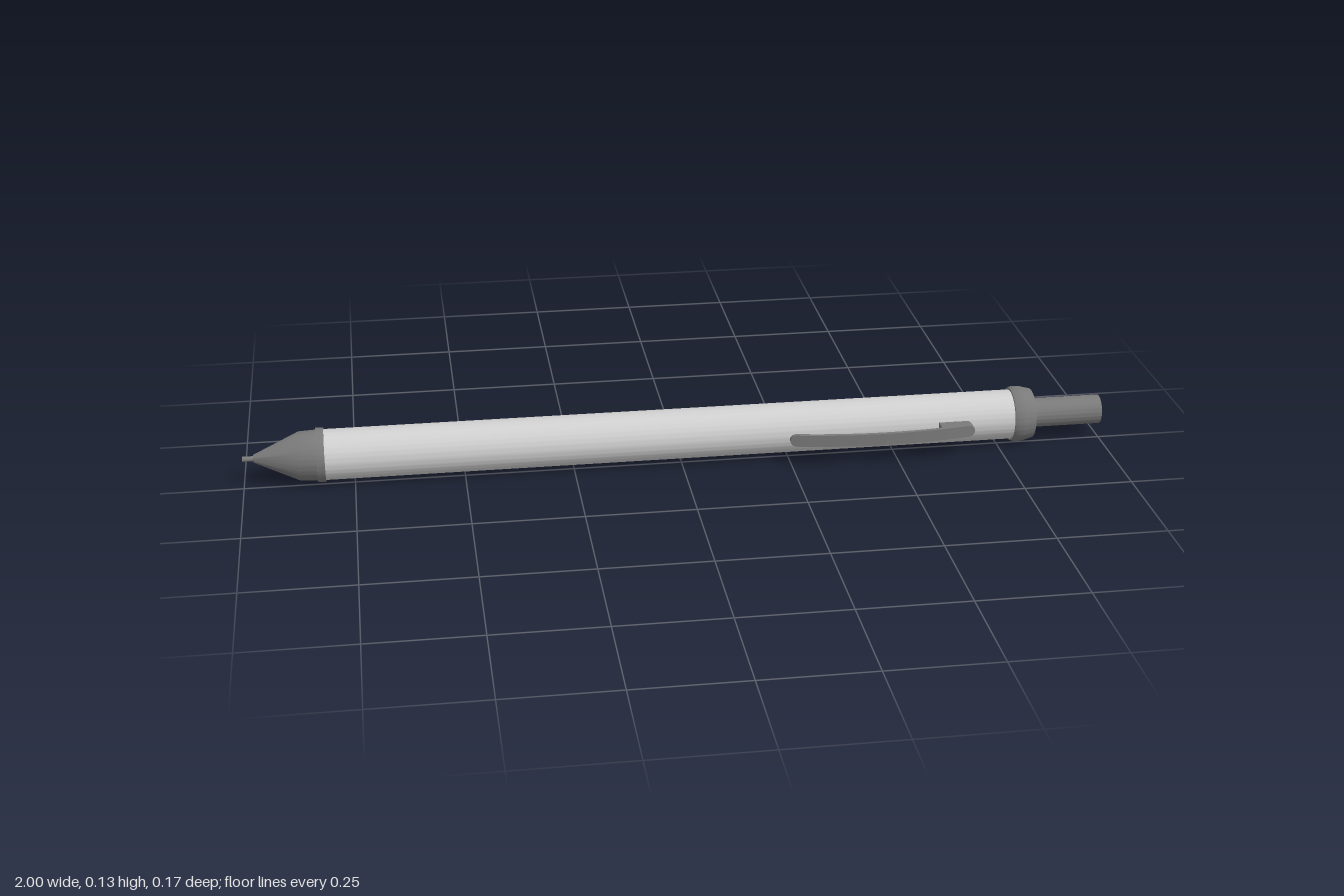
import * as THREE from 'three';
import { toCreasedNormals } from 'three/addons/utils/BufferGeometryUtils.js';

const AXIS_Y = 0.065, AXIS_Z = -0.018;

export function createModel() {
  const pen = new THREE.Group();
  pen.name = 'pen';
  const silver = new THREE.MeshStandardMaterial({ color: 0xcfcfcf });
  silver.name = 'light silver';
  const grey = new THREE.MeshStandardMaterial({ color: 0x7a7a7a });
  grey.name = 'dark grey';

  const add = (name, geometry, material) => {
    const mesh = new THREE.Mesh(toCreasedNormals(geometry, 0.5), material);
    mesh.name = name;
    pen.add(mesh);
  };

  // Round part along x from [x, radius] pairs
  const turned = (name, profile, material) => {
    const g = new THREE.LatheGeometry(profile.map(([x, r]) => new THREE.Vector2(r, x)), 64);
    g.rotateZ(-Math.PI / 2);
    g.translate(0, AXIS_Y, AXIS_Z);
    add(name, g, material);
  };

  turned('barrel', [[-0.82, 0], [-0.82, 0.058], [0.79, 0.058], [0.79, 0]], silver);
  turned('frontRing', [[-0.833, 0], [-0.833, 0.062], [-0.815, 0.062], [-0.815, 0]], grey);
  turned('noseCone', [[-0.975, 0], [-0.975, 0.009], [-0.872, 0.056], [-0.83, 0.058], [-0.83, 0]], grey);
  turned('writingTip', [[-1, 0], [-1, 0.006], [-0.97, 0.006], [-0.97, 0]], grey);
  turned('rearCollar', [[0.783, 0], [0.783, 0.062], [0.79, 0.065], [0.808, 0.065], [0.834, 0.058], [0.834, 0]], grey);
  turned('pushButton', [[0.83, 0], [0.83, 0.034], [1, 0.034], [1, 0]], grey);

  // Bar whose outer face follows the clip's bow, with rounded ends
  const bow = x => 0.083 - 0.44 * (x - 0.47) ** 2;
  const R = 0.014;
  const bar = (name, x0, x1, roundLeft, inner, outer) => {
    const g = new THREE.BoxGeometry(2, 2, 2, 48, 1, 1);
    const p = g.attributes.position;
    for (let i = 0; i < p.count; i++) {
      // closer spacing near the ends keeps the round corners smooth
      const t = (1 - Math.cos((p.getX(i) + 1) * Math.PI / 2)) / 2;
      const x = x0 + (x1 - x0) * t;
      const d = Math.min(R, x1 - x, roundLeft ? x - x0 : R);
      const half = Math.max(0.001, Math.sqrt(Math.max(0, R * R - (R - d) ** 2)));
      p.setXYZ(i, x, AXIS_Y + Math.sign(p.getY(i)) * half, p.getZ(i) > 0 ? outer(x) : inner(x));
    }
    add(name, g, grey);
  };
  bar('clip', 0.245, 0.68, true, x => bow(x) - 0.009, bow);
  bar('clipFoot', 0.6, 0.68, false, () => 0.025, x => bow(x) - 0.008);

  return pen;
}
